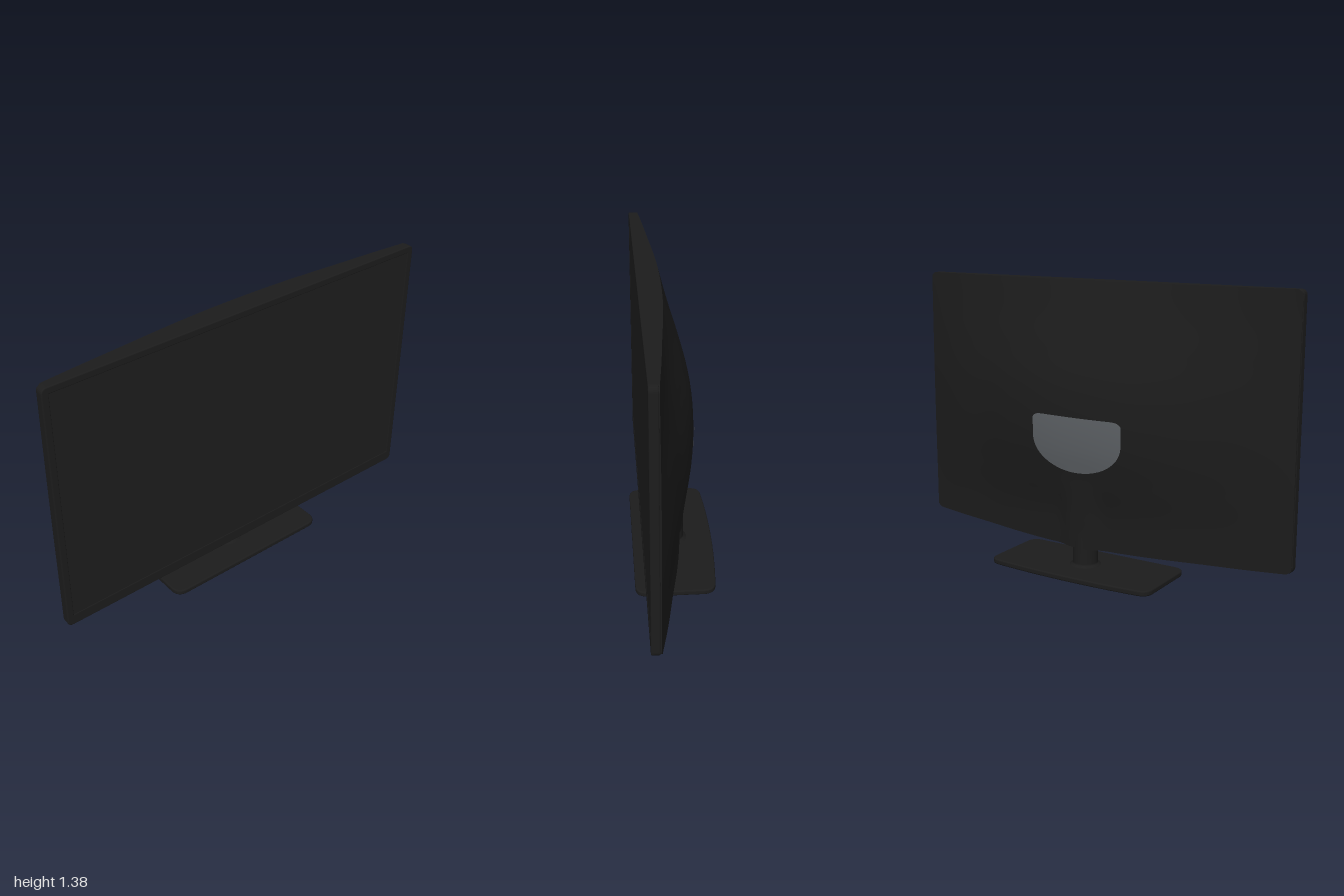
import * as THREE from 'three';

const mat = (name, color) => Object.assign(new THREE.MeshStandardMaterial({ color }), { name });

// Smooth curve through evenly spaced values, t in 0..1
function spline(values, t) {
  const n = values.length - 1;
  const f = THREE.MathUtils.clamp(t, 0, 1) * n;
  const i = Math.min(Math.floor(f), n - 1), k = f - i;
  const b = values[i], c = values[i + 1];
  const a = i > 0 ? values[i - 1] : 2 * b - c;
  const d = i + 2 <= n ? values[i + 2] : 2 * c - b;
  return b + 0.5 * k * (c - a + k * (2 * a - 5 * b + 4 * c - d + k * (3 * (b - c) + d - a)));
}

const BOTTOM = 0.14, TOP = 1.38, SEAM = 0.11;
const DEPTH = [0.143, 0.15, 0.178, 0.202, 0.207, 0.193, 0.155, 0.108, 0.066];
const ACROSS = [0.03, 0.31, 0.54, 0.78, 0.95, 1, 0.95, 0.78, 0.54, 0.31, 0.03];

// Depth of the bulging back, with a raised spine running down to the neck
function backZ(x, y) {
  const body = spline(DEPTH, (y - BOTTOM) / (TOP - BOTTOM)) * spline(ACROSS, (x + 1) / 2);
  const spine = 0.022 * Math.exp(-Math.pow(x / 0.095, 4)) * (1 - THREE.MathUtils.smoothstep(y, 0.25, 0.52));
  return SEAM - body - spine;
}

// Half width of the cabinet, narrowing at the rounded corners
function halfWidth(y) {
  const r = 0.02, e = Math.max(0, r - Math.min(y - BOTTOM, TOP - y));
  return 0.997 - r + Math.sqrt(Math.max(0, r * r - e * e));
}

// Point on the back; the lower edge dips a little where the body is deep
function backPoint(s, v) {
  const y = BOTTOM + v * (TOP - BOTTOM), x = s * halfWidth(y), z = backZ(x, y);
  return [x, y - 0.08 * (SEAM - z) * Math.pow(1 - v, 10), z];
}

// Grid sheet from a rule of (u, v)
function sheet(nu, nv, rule) {
  const g = new THREE.PlaneGeometry(1, 1, nu, nv);
  const p = g.attributes.position;
  for (let i = 0; i < p.count; i++) p.setXYZ(i, ...rule(p.getX(i) + 0.5, p.getY(i) + 0.5));
  g.computeVertexNormals();
  return g;
}

function roundedRect(Path, x0, y0, x1, y1, r) {
  const s = new Path();
  s.moveTo(x0 + r, y0);
  s.lineTo(x1 - r, y0);
  s.quadraticCurveTo(x1, y0, x1, y0 + r);
  s.lineTo(x1, y1 - r);
  s.quadraticCurveTo(x1, y1, x1 - r, y1);
  s.lineTo(x0 + r, y1);
  s.quadraticCurveTo(x0, y1, x0, y1 - r);
  s.lineTo(x0, y0 + r);
  s.quadraticCurveTo(x0, y0, x0 + r, y0);
  return s;
}

export function createModel() {
  const model = new THREE.Group();
  const casing = mat('black casing', 0x1c1c1c);
  const glass = mat('dark screen', 0x1e1e1e);
  const silver = mat('grey plate', 0x5c6064);
  const add = (name, geometry, material, parent = model) => {
    const m = new THREE.Mesh(geometry, material);
    m.name = name;
    parent.add(m);
    return m;
  };

  // Bezel with the screen opening
  const outline = roundedRect(THREE.Shape, -0.995, BOTTOM + 0.005, 0.995, TOP - 0.005, 0.022);
  outline.holes.push(roundedRect(THREE.Path, -0.972, 0.192, 0.972, 1.352, 0.004));
  add('bezel', new THREE.ExtrudeGeometry(outline, {
    depth: 0.03, bevelSize: 0.005, bevelThickness: 0.005, bevelSegments: 3, curveSegments: 6,
  }).translate(0, 0, 0.115), casing);
  add('screen', new THREE.BoxGeometry(1.95, 1.17, 0.025).translate(0, 0.772, 0.1355), glass);

  // Back shell: curved back and the four rim walls
  const shell = new THREE.Group();
  shell.name = 'backShell';
  model.add(shell);
  const toSeam = (p, k) => [p[0], p[1], THREE.MathUtils.lerp(p[2], 0.118, k)];
  const seamDrop = (p, k) => [p[0], THREE.MathUtils.lerp(p[1], BOTTOM, k), THREE.MathUtils.lerp(p[2], 0.118, k)];
  add('back', sheet(96, 80, (u, v) => backPoint(1 - 2 * u, v)), casing, shell);
  add('topRim', sheet(96, 1, (u, v) => toSeam(backPoint(2 * u - 1, 1), 1 - v)), casing, shell);
  add('bottomRim', sheet(96, 1, (u, v) => seamDrop(backPoint(2 * u - 1, 0), v)), casing, shell);
  add('leftRim', sheet(80, 1, (u, v) => toSeam(backPoint(1, u), v)), casing, shell);
  add('rightRim', sheet(80, 1, (u, v) => toSeam(backPoint(-1, 1 - u), v)), casing, shell);

  // Grey half-round plate lying on the back
  add('backPlate', sheet(48, 16, (u, v) => {
    const a = Math.cos(Math.PI * u), round = Math.sqrt(Math.max(0, 1 - a * a));
    const x = 0.24 * a;
    const low = 0.655 - 0.155 * round;
    const high = 0.765 - 0.02 * Math.pow(Math.abs(a), 16);
    const y = THREE.MathUtils.lerp(low, high, v);
    return [x, y, backZ(x, y) - 0.004];
  }), silver);

  // Neck with a collar at the foot
  const neck = [[0.075, 0.03], [0.075, 0.036], [0.062, 0.042], [0.06, 0.05], [0.06, 0.18]];
  add('neck', new THREE.LatheGeometry(neck.map(p => new THREE.Vector2(...p)), 40), casing);

  // Base plate with rounded corners and a slightly bowed rear edge
  const base = new THREE.Shape();
  const w = 0.432, r = 0.05;
  base.moveTo(-w + r, -0.185);
  base.lineTo(w - r, -0.185);
  base.quadraticCurveTo(w, -0.185, w, -0.185 + r);
  base.lineTo(w, 0.172 - r);
  base.quadraticCurveTo(w, 0.172, w - r, 0.175);
  base.quadraticCurveTo(0, 0.21, -w + r, 0.175);
  base.quadraticCurveTo(-w, 0.172, -w, 0.172 - r);
  base.lineTo(-w, -0.185 + r);
  base.quadraticCurveTo(-w, -0.185, -w + r, -0.185);
  add('base', new THREE.ExtrudeGeometry(base, {
    depth: 0.012, bevelSize: 0.007, bevelThickness: 0.007, bevelSegments: 4, curveSegments: 16,
  }).rotateX(-Math.PI / 2).translate(0, 0.015, 0), casing);

  // Low pad under the base
  add('basePad', new THREE.ExtrudeGeometry(roundedRect(THREE.Shape, -0.36, -0.15, 0.36, 0.15, 0.05), {
    depth: 0.01, bevelEnabled: false, curveSegments: 8,
  }).rotateX(-Math.PI / 2), casing);

  return model;
}
